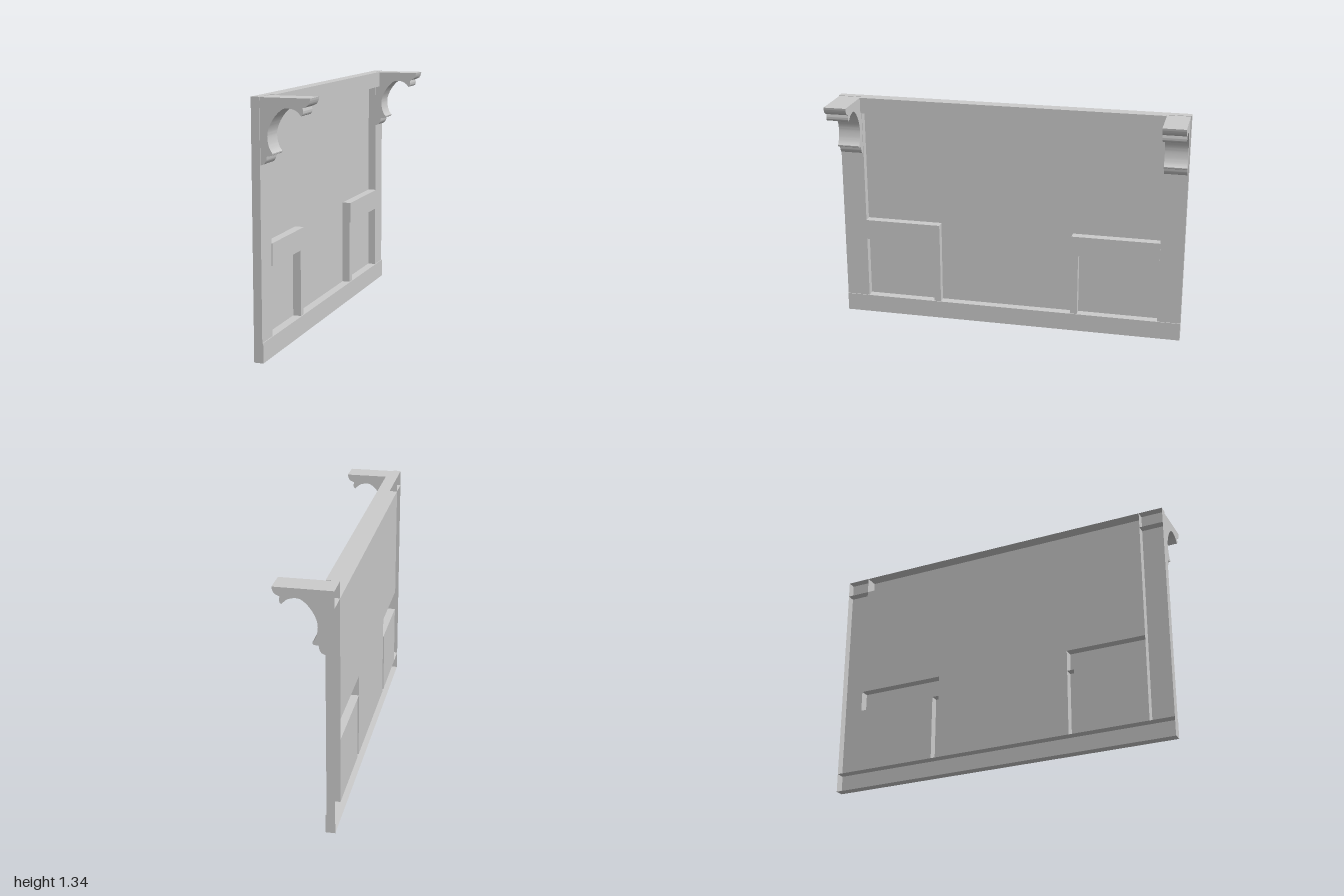
import * as THREE from 'three';
import { toCreasedNormals } from 'three/addons/utils/BufferGeometryUtils.js';

const BACK = -0.155;   // plane of the recessed panel and the open backs
const STILE = 0.866;   // inner edge of the side stiles

export function createModel() {
  const group = new THREE.Group();
  const grey = new THREE.MeshStandardMaterial({ color: 0xcccccc, side: THREE.DoubleSide });

  const add = (name, geometry) => {
    const mesh = new THREE.Mesh(geometry, grey);
    mesh.name = name;
    group.add(mesh);
    return mesh;
  };

  // Raised board: a hollow box that is open at the back
  const board = (name, front, y0, y1, z0, z1) => {
    const geo = new THREE.BoxGeometry(front - BACK, y1 - y0, z1 - z0);
    const index = Array.from(geo.index.array);
    index.splice(6, 6); // drop the -x face
    geo.setIndex(index);
    geo.clearGroups();
    add(name, geo).position.set((front + BACK) / 2, (y0 + y1) / 2, (z0 + z1) / 2);
  };

  // Flat panel from a (z, y) outline
  const panel = (name, points) => {
    const shape = new THREE.Shape(points.map(([z, y]) => new THREE.Vector2(z, y)));
    const geo = new THREE.ShapeGeometry(shape);
    geo.rotateY(-Math.PI / 2);
    add(name, geo).position.x = BACK;
  };

  // Frame
  board('bottomRail', -0.105, 0, 0.105, -1, 1);
  board('topRail', -0.085, 1.245, 1.335, -STILE, STILE);
  for (const [z0, z1] of [[STILE, 1], [-1, -STILE]]) {
    board('stile', -0.11, 0.105, 1.245, z0, z1);
    board('cornerBlock', -0.11, 1.245, 1.335, z0, z1);
  }

  // Short cross bars, each with a post at its inner end
  board('crossBar', -0.105, 0.47, 0.588, 0.42, STILE);
  board('post', -0.11, 0.105, 0.47, 0.42, 0.46);
  board('crossBar', -0.105, 0.47, 0.588, -STILE, -0.36);
  board('post', -0.11, 0.105, 0.47, -0.4, -0.36);

  // Recessed panels
  panel('mainPanel', [
    [0.42, 0.105], [0.42, 0.588], [STILE, 0.588], [STILE, 1.245],
    [-STILE, 1.245], [-STILE, 0.588], [-0.36, 0.588], [-0.36, 0.105],
  ]);
  for (const [z0, z1] of [[0.46, STILE], [-STILE, -0.4]]) {
    panel('lowerPanel', [[z0, 0.105], [z1, 0.105], [z1, 0.47], [z0, 0.47]]);
  }

  // Scrolled corner brackets
  const v = (pts) => pts.map(([x, y]) => new THREE.Vector2(x, y));
  const profile = new THREE.Shape();
  profile.moveTo(-0.11, 1.333);
  profile.lineTo(0.15, 1.333);
  profile.splineThru(v([[0.146, 1.315], [0.136, 1.298], [0.111, 1.286]])); // tip ovolo
  profile.splineThru(v([[0.114, 1.268], [0.111, 1.254], [0.103, 1.247]])); // tip bead
  profile.splineThru(v([[0.09, 1.261], [0.069, 1.276], [0.034, 1.283], [0.005, 1.276],
    [-0.03, 1.244], [-0.058, 1.2], [-0.072, 1.155], [-0.069, 1.11], [-0.058, 1.078],
    [-0.045, 1.06]])); // main hollow
  profile.splineThru(v([[-0.047, 1.052], [-0.058, 1.048], [-0.076, 1.047]])); // foot bead
  profile.splineThru(v([[-0.08, 1.025], [-0.091, 1.008], [-0.11, 1.0]])); // foot ovolo
  profile.closePath();
  for (const z0 of [0.868, -0.995]) {
    const geo = new THREE.ExtrudeGeometry(profile, { depth: 0.127, bevelEnabled: false, curveSegments: 5 });
    add('bracket', toCreasedNormals(geo, 0.6)).position.z = z0;
  }

  return group;
}
